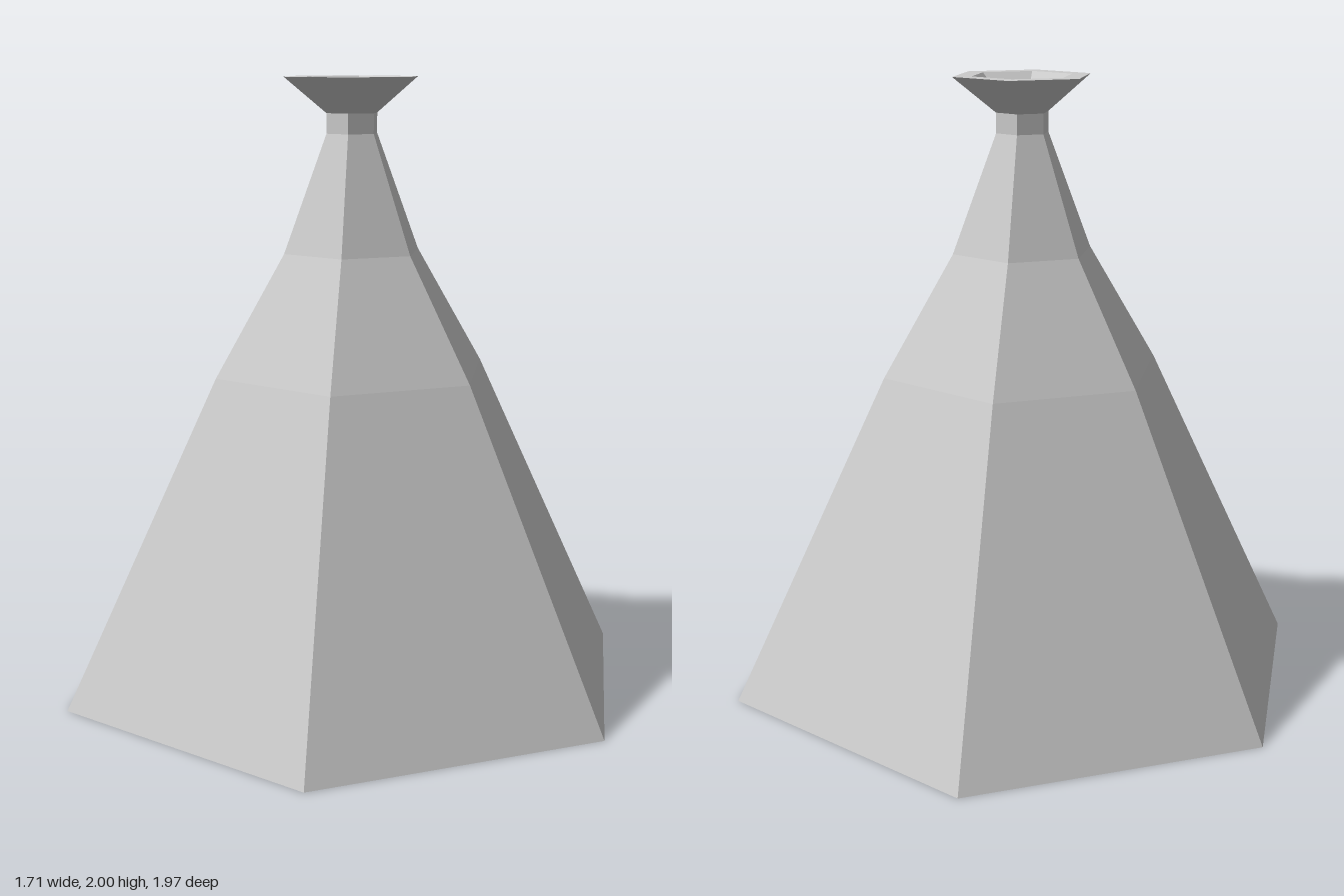
import * as THREE from 'three';

const SIDES = 6;

// Six-sided turned part from [radius, height] pairs, corners on +z and -z
function hexLathe(name, profile, material) {
  const points = profile.map(([r, y]) => new THREE.Vector2(r, y));
  const mesh = new THREE.Mesh(new THREE.LatheGeometry(points, SIDES), material);
  mesh.name = name;
  return mesh;
}

export function createModel() {
  const group = new THREE.Group();
  group.name = 'hexagonalPiece';
  const material = new THREE.MeshStandardMaterial({ color: 0xcccccc, flatShading: true });

  // Closed base and tapering body up to the narrow neck
  group.add(hexLathe('body', [
    [0, 0], [0.985, 0], [0.47, 1.05], [0.235, 1.44], [0.088, 1.82],
  ], material));

  // Straight neck
  group.add(hexLathe('neck', [[0.088, 1.82], [0.088, 1.885]], material));

  // Flared cap with a flat rim and a shallow recess
  group.add(hexLathe('cap', [
    [0.088, 1.885], [0.232, 2], [0.168, 2], [0.135, 1.967], [0, 1.967],
  ], material));

  return group;
}
